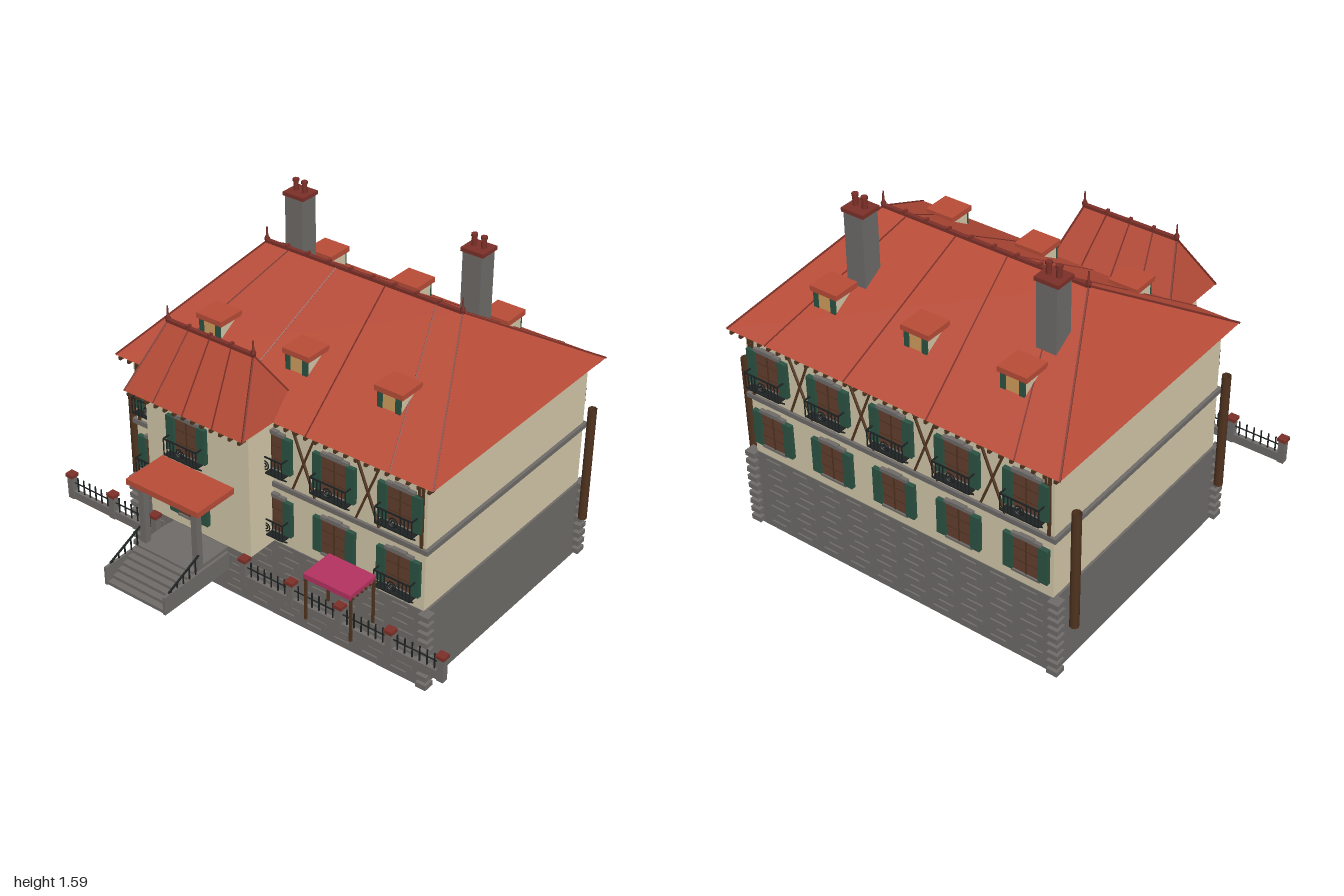
import * as THREE from 'three';

const mat = (name, color, extra = {}) => Object.assign(new THREE.MeshStandardMaterial({ color, ...extra }), { name });
const M = {
  roof: mat('roof red', 0xb84c38),
  wall: mat('cream plaster', 0xd2c7a8),
  stone: mat('grey stone', 0x6e6b68),
  trim: mat('dark red trim', 0x7c3028),
  wood: mat('dark timber', 0x50331f, { side: THREE.DoubleSide }),
  green: mat('shutter green', 0x2b5242),
  pane: mat('brown pane', 0x623e2e),
  iron: mat('black iron', 0x1e2222),
  pink: mat('awning pink', 0xb43260),
  tan: mat('warm glass', 0xd09e5c),
};

const add = (parent, name, geo, material, x = 0, y = 0, z = 0) => {
  const m = new THREE.Mesh(geo, material);
  m.name = name;
  m.position.set(x, y, z);
  parent.add(m);
  return m;
};
const group = (parent, name, x = 0, y = 0, z = 0) => {
  const g = new THREE.Group();
  g.name = name;
  g.position.set(x, y, z);
  parent.add(g);
  return g;
};
// box given by its centre and size
const box = (p, name, m, x, y, z, w, h, d) => add(p, name, new THREE.BoxGeometry(w, h, d), m, x, y, z);
// box given by its limits
const span = (p, name, m, x0, x1, y0, y1, z0, z1) =>
  box(p, name, m, (x0 + x1) / 2, (y0 + y1) / 2, (z0 + z1) / 2, x1 - x0, y1 - y0, z1 - z0);
// square bar between two points
const bar = (p, name, m, a, b, t) => {
  const A = new THREE.Vector3(...a), B = new THREE.Vector3(...b);
  const mesh = add(p, name, new THREE.BoxGeometry(t, t, A.distanceTo(B)), m);
  mesh.position.copy(A).add(B).multiplyScalar(0.5);
  mesh.quaternion.setFromUnitVectors(new THREE.Vector3(0, 0, 1), B.sub(A).normalize());
  return mesh;
};

// hipped roof centred on its own origin, with seams, ridge cap, finials and rafter ends
function hipRoof(parent, name, cx, y, cz, hx, hz, ridge, h, seams) {
  const g = group(parent, name, cx, y, cz);
  const a = [-hx, 0, hz], b = [hx, 0, hz], c = [hx, 0, -hz], d = [-hx, 0, -hz];
  const l = [-ridge, h, 0], r = [ridge, h, 0];
  const tris = [a, b, r, a, r, l, c, d, l, c, l, r, b, c, r, d, a, l, a, d, c, a, c, b];
  const geo = new THREE.BufferGeometry();
  geo.setAttribute('position', new THREE.Float32BufferAttribute(tris.flat(), 3));
  geo.computeVertexNormals();
  add(g, 'roofSlopes', geo, M.roof);
  for (const [p, q] of [[a, l], [d, l], [b, r], [c, r]]) bar(g, 'hipSeam', M.trim, p, q, 0.007);
  for (const s of [-1, 1]) {
    for (const f of seams) bar(g, 'roofSeam', M.trim, [f * hx, 0, s * hz], [f * ridge, h, 0], 0.005);
    const n = Math.round(hx * 2 / 0.05);
    for (let i = 0; i <= n; i++)
      box(g, 'rafterEnd', M.wood, (i / n * 2 - 1) * (hx - 0.02), -0.012, s * (hz - 0.02), 0.012, 0.014, 0.04);
    // finial with bulb and spike
    const pts = [[0, 0], [0.009, 0], [0.012, 0.018], [0.005, 0.032], [0.003, 0.07], [0, 0.075]];
    add(g, 'finial', new THREE.LatheGeometry(pts.map(p => new THREE.Vector2(...p)), 8), M.trim, s * ridge, h - 0.005, 0);
  }
  box(g, 'ridgeCap', M.trim, 0, h + 0.002, 0, ridge * 2, 0.014, 0.018);
  const k = Math.round(ridge * 2 / 0.11);
  for (let i = 1; i < k; i++) box(g, 'ridgeKnob', M.trim, (i / k * 2 - 1) * ridge, h + 0.012, 0, 0.012, 0.012, 0.022);
}

function balcony(p) {
  const g = group(p, 'balcony', 0, -0.085, 0), w = 0.087, d = 0.055, h = 0.078;
  box(g, 'balconyFloor', M.iron, 0, 0, d / 2, w * 2, 0.006, d);
  box(g, 'topRail', M.iron, 0, h, d, w * 2, 0.006, 0.005);
  for (let i = 0; i <= 10; i++)
    if (i < 4 || i > 6) box(g, 'baluster', M.iron, (i / 5 - 1) * w, h / 2, d, 0.004, h, 0.004);
  add(g, 'railRing', new THREE.TorusGeometry(0.02, 0.003, 5, 14), M.iron, 0, h / 2, d);
  add(g, 'railBoss', new THREE.TorusGeometry(0.009, 0.003, 5, 10), M.iron, 0, h / 2, d);
  for (const s of [-1, 1]) {
    box(g, 'sideRail', M.iron, s * w, h, d / 2, 0.005, 0.006, d);
    bar(g, 'bracket', M.iron, [s * 0.065, 0, d], [s * 0.065, -0.045, 0], 0.006);
  }
}

function windowUnit(p, x, y, z, withBalcony) {
  const g = group(p, 'window', x, y, z);
  box(g, 'windowPane', M.pane, 0, 0, 0.005, 0.125, 0.165, 0.01);
  box(g, 'mullion', M.wood, 0, 0, 0.008, 0.006, 0.165, 0.01);
  for (const t of [-0.03, 0.03]) box(g, 'glazingBar', M.wood, 0, t, 0.008, 0.125, 0.004, 0.008);
  box(g, 'lintel', M.stone, 0, 0.09, 0.008, 0.135, 0.015, 0.018);
  box(g, 'keystone', M.stone, 0, 0.097, 0.01, 0.07, 0.014, 0.02);
  box(g, 'sill', M.stone, 0, -0.086, 0.008, 0.13, 0.01, 0.018);
  for (const s of [-1, 1]) box(g, 'shutter', M.green, s * 0.082, 0.003, 0.011, 0.042, 0.165, 0.02);
  if (withBalcony) balcony(g);
}

// timber framing on one long facade, local z = 0 on the wall
function timber(p) {
  const lo = 0.69, hi = 0.975;
  box(p, 'topBeam', M.wood, 0, 0.98, 0.004, 1.5, 0.014, 0.012);
  for (const s of [-1, 1]) {
    box(p, 'cornerPost', M.wood, s * 0.735, 0.83, 0.003, 0.012, 0.29, 0.01);
    bar(p, 'endBrace', M.wood, [s * 0.735, lo, 0.002], [s * 0.715, hi, 0.002], 0.009);
    for (const c of [0.158, 0.476]) for (const k of [-1, 1])
      bar(p, 'crossBrace', M.wood, [s * c - k * 0.056, lo, 0.002], [s * c + k * 0.056, hi, 0.002], 0.01);
  }
}

// staggered stone courses on one long base wall
function courses(p) {
  for (let r = 0; r < 9; r++) for (let c = 0; c < 10; c++)
    box(p, 'baseCourse', M.stone, -0.66 + c * 0.145 + (r % 2) * 0.03, 0.03 + r * 0.041, 0.004, 0.075, 0.02, 0.014);
}

export function createModel() {
  const root = new THREE.Group();
  root.name = 'house';
  const CZ = -0.255, HZ = 0.573, F = CZ + HZ, T = 0.47;

  // base, walls and bands
  span(root, 'stoneBase', M.stone, -0.765, 0.765, 0, 0.385, CZ - HZ - 0.004, F + 0.004);
  span(root, 'mainWalls', M.wall, -0.755, 0.755, 0.385, 0.99, CZ - HZ, F);
  span(root, 'towerWalls', M.wall, -0.545, 0, 0.385, 0.995, 0.2, T);
  box(root, 'stringCourse', M.stone, 0, 0.674, CZ, 1.54, 0.022, HZ * 2 + 0.025);
  box(root, 'eavesBeam', M.trim, 0, 0.99, CZ, 1.54, 0.018, HZ * 2 + 0.02);
  for (const sx of [-1, 1]) for (const sz of [-1, 1]) for (let i = 0; i < 9; i++)
    box(root, 'quoin', M.stone, sx * 0.772, 0.028 + i * 0.043, CZ + sz * (HZ + 0.006), 0.05, 0.024, 0.05);

  // front and back facades
  const front = group(root, 'frontFacade', 0, 0, F);
  const back = group(root, 'backFacade', 0, 0, CZ - HZ);
  back.rotation.y = Math.PI;
  for (const f of [front, back]) {
    timber(f);
    courses(f);
    for (let i = -2; i <= 2; i++) {
      const onTower = f === front && i === -1;
      const z = onTower ? T - F : 0;
      windowUnit(f, i * 0.318, 0.835, z, true);
      windowUnit(f, i * 0.318, 0.53, z, f === front && i !== -1 && i !== 1);
    }
  }

  // roofs
  hipRoof(root, 'mainRoof', 0, 1, CZ, 0.808, 0.62, 0.495, 0.38, [-0.75, -0.25, 0.25, 0.75]);
  hipRoof(root, 'towerRoof', -0.272, 1, 0.368, 0.312, 0.183, 0.222, 0.275, [-0.5, 0, 0.5]);

  // dormers, mirrored front to back
  for (const s of [1, -1]) for (const x of [-0.455, 0, 0.455]) {
    const g = group(root, 'dormer', x, 1.1, CZ);
    if (s < 0) g.rotation.y = Math.PI;
    span(g, 'dormerWalls', M.wall, -0.055, 0.055, 0, 0.092, 0.28, 0.415);
    box(g, 'dormerRoof', M.roof, 0, 0.103, 0.362, 0.136, 0.024, 0.13);
    box(g, 'dormerWindow', M.tan, 0, 0.055, 0.417, 0.06, 0.065, 0.008);
    for (const k of [-1, 1]) box(g, 'dormerShutter', M.green, k * 0.043, 0.055, 0.419, 0.024, 0.068, 0.01);
  }

  // chimneys
  for (const [x, z] of [[-0.485, -0.465], [0.392, -0.508]]) {
    const g = group(root, 'chimney', x, 0, z);
    span(g, 'chimneyStack', M.stone, -0.046, 0.046, 1.1, 1.517, -0.046, 0.046);
    box(g, 'chimneyCap', M.trim, 0, 1.524, 0, 0.11, 0.017, 0.1);
    for (const s of [-1, 1]) {
      add(g, 'chimneyPot', new THREE.CylinderGeometry(0.011, 0.012, 0.05, 8), M.trim, s * 0.023, 1.555, 0);
      add(g, 'potRim', new THREE.CylinderGeometry(0.014, 0.014, 0.012, 8), M.trim, s * 0.023, 1.579, 0);
    }
  }

  // tall side poles
  for (const [x, z] of [[0.82, -0.78], [-0.82, -0.78], [-0.82, 0.27]])
    add(root, 'sidePole', new THREE.CylinderGeometry(0.02, 0.02, 0.56, 8, 1, true), M.wood, x, 0.522, z);

  // porch with canopy, columns and stairs
  const porch = group(root, 'porch', -0.274, 0, 0);
  span(porch, 'canopy', M.roof, -0.193, 0.193, 0.667, 0.694, T, 0.69);
  span(porch, 'landing', M.stone, -0.15, 0.15, 0.285, 0.383, T, 0.69);
  for (let i = 0; i < 6; i++)
    span(porch, 'step', M.stone, -0.155, 0.155, 0.285, 0.3 + i * 0.0145, 0.69, 0.87 - i * 0.03);
  for (const s of [-1, 1]) {
    box(porch, 'stairCheek', M.stone, s * 0.16, 0.328, 0.68, 0.012, 0.086, 0.39);
    box(porch, 'column', M.stone, s * 0.143, 0.525, 0.648, 0.03, 0.285, 0.03);
    box(porch, 'capital', M.stone, s * 0.143, 0.66, 0.648, 0.042, 0.014, 0.042);
    bar(porch, 'handrail', M.iron, [s * 0.16, 0.375, 0.845], [s * 0.16, 0.455, 0.66], 0.007);
    for (let i = 0; i < 5; i++) {
      const h = 0.01 + i * 0.016;
      box(porch, 'railPost', M.iron, s * 0.16, 0.37 + h / 2, 0.83 - i * 0.037, 0.005, h, 0.005);
    }
  }

  // garden wall: low wall, capped pillars, iron bars
  const fence = group(root, 'fence', 0, 0, 0.512);
  for (const [x0, n] of [[-0.98, 2], [0, 4]]) {
    span(fence, 'lowWall', M.stone, x0 - 0.015, x0 + n * 0.245 + 0.015, 0.285, 0.325, -0.01, 0.01);
    for (let i = 0; i <= n; i++) {
      const x = x0 + i * 0.245;
      box(fence, 'pillar', M.stone, x, 0.34, 0, 0.03, 0.11, 0.03);
      box(fence, 'pillarCap', M.trim, x, 0.402, 0, 0.04, 0.016, 0.04);
      if (i === n) continue;
      box(fence, 'fenceRail', M.iron, x + 0.1225, 0.365, 0, 0.22, 0.004, 0.004);
      for (let k = 1; k < 7; k++) box(fence, 'fenceBar', M.iron, x + k * 0.035, 0.36, 0, 0.005, 0.075, 0.005);
    }
  }

  // garden awning on four legs
  const awning = group(root, 'awning', 0.455, 0, 0.47);
  box(awning, 'awningTop', M.pink, 0, 0.503, 0, 0.232, 0.024, 0.166);
  for (const s of [-1, 1]) {
    for (const k of [-1, 1]) box(awning, 'awningLeg', M.wood, s * 0.112, 0.388, k * 0.073, 0.01, 0.207, 0.01);
    for (let i = 0; i < 6; i++) box(awning, 'awningPeg', M.wood, s * 0.118, 0.495, -0.07 + i * 0.028, 0.012, 0.008, 0.008);
  }
  return root;
}
